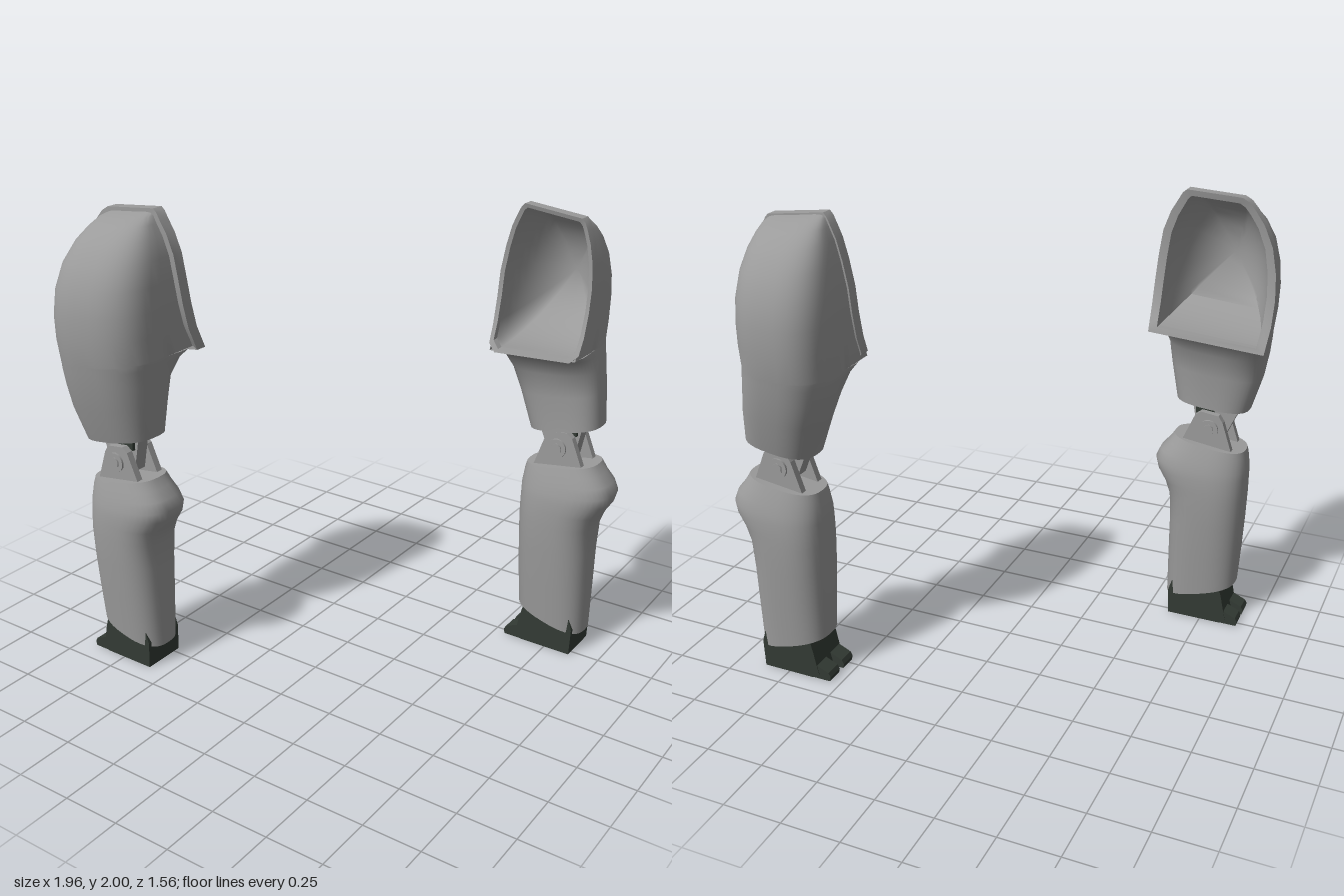
import * as THREE from 'three';
import { mergeGeometries, toCreasedNormals } from 'three/addons/utils/BufferGeometryUtils.js';

const { lerp } = THREE.MathUtils;

const armour = new THREE.MeshStandardMaterial({ color: 0x9b9b9b, side: THREE.DoubleSide });
armour.name = 'grey armour';
const dark = new THREE.MeshStandardMaterial({ color: 0x333b34, side: THREE.DoubleSide });
dark.name = 'dark green rubber';

// Depth profile of the upper arm: height, widest depth, outer depth, inner (body side) depth
const DEPTH = [
  [1.05, 0.57, 0.69, 0.455], [1.2, 0.57, 0.735, 0.455], [1.3, 0.57, 0.755, 0.44],
  [1.37, 0.57, 0.768, 0.40], [1.395, 0.57, 0.771, 0.36], [1.4, 0.57, 0.772, 0.35],
  [1.5, 0.58, 0.78, 0.40], [1.6, 0.58, 0.78, 0.425], [1.7, 0.57, 0.765, 0.437],
  [1.8, 0.55, 0.725, 0.443], [1.88, 0.53, 0.665, 0.445], [1.93, 0.51, 0.605, 0.445],
  [1.96, 0.49, 0.55, 0.443], [1.975, 0.46, 0.49, 0.44],
];
const OPEN = 5; // first level of the shoulder opening

// Left and right edges of each upper arm at those heights; side is the sign of z
const ARMS = [
  {
    name: 'rightArm', side: 1, x: 0, lift: 0, yaw: -0.08, slope: [0.12, 0.08], rim: [1.11, 1.05], corner: 0,
    xl: [-.885, -.925, -.94, -.945, -.946, -.946, -.955, -.957, -.95, -.93, -.895, -.86, -.835, -.81],
    xr: [-.57, -.54, -.525, -.515, -.51, -.51, -.507, -.508, -.514, -.525, -.55, -.575, -.59, -.605],
  },
  {
    name: 'leftArm', side: -1, x: 1.47, lift: 0.02, yaw: 0, slope: [0.16, -0.12], rim: [1.04, 1.02], corner: 0.03,
    xl: [.592, .535, .495, .478, .472, .472, .467, .467, .47, .487, .508, .53, .545, .56],
    xr: [.902, .885, .87, .86, .856, .855, .858, .86, .86, .853, .838, .823, .812, .80],
  },
];

// Surface through rows of points
function grid(rows) {
  const n = rows[0].length, pos = rows.flat().flatMap((p) => [p.x, p.y, p.z]), idx = [];
  for (let i = 0; i < rows.length - 1; i++) {
    for (let j = 0; j < n - 1; j++) {
      const a = i * n + j, b = a + n;
      idx.push(a, a + 1, b + 1, a, b + 1, b);
    }
  }
  const g = new THREE.BufferGeometry();
  g.setAttribute('position', new THREE.Float32BufferAttribute(pos, 3));
  g.setIndex(idx);
  return g;
}

function add(group, name, geometry, material, crease) {
  const mesh = new THREE.Mesh(crease ? toCreasedNormals(geometry, crease) : geometry, material);
  mesh.name = name;
  group.add(mesh);
  return mesh;
}

const shrink = (row, k) => {
  const c = new THREE.Vector3();
  row.forEach((p) => c.addScaledVector(p, 1 / row.length));
  return row.map((p) => p.clone().lerp(c, 1 - k));
};
const power = (v, p) => Math.sign(v) * Math.abs(v) ** p;

function upperArm(arm) {
  const g = new THREE.Group();
  g.name = 'upperArm';
  const place = (x, y, o, mid) => {
    const s = lerp(arm.slope[0], arm.slope[1], (y - 1.05) / 0.925);
    return new THREE.Vector3(x, y + s * (x - mid), arm.side * (o + arm.yaw * (x - mid)));
  };

  // Shell: full rings below the opening, U-shaped ones beside it
  const rows = DEPTH.map(([y, om, zo, zi], i) => {
    const mid = (arm.xl[i] + arm.xr[i]) / 2, w = (arm.xr[i] - arm.xl[i]) / 2, row = [];
    const p = i < 3 ? 0.75 : i === 3 ? 0.5 : 0.3;
    for (let k = 0; k <= 48; k++) {
      const a = -Math.PI / 2 + (k / 48) * Math.PI * 2, inner = Math.sin(a) < -1e-6;
      if (inner && i >= OPEN) {
        const t = (k < 24 ? 12 - k : k - 36) / 12;
        row.push(place(mid + (k < 24 ? w : -w), y, lerp(om, zi, t), mid));
      } else {
        const q = inner ? p : 0.75, depth = inner ? om - zi : zo - om;
        row.push(place(mid + w * power(Math.cos(a), q), y, om + depth * power(Math.sin(a), q), mid));
      }
    }
    return row;
  });
  rows.unshift(shrink(rows[0], 0), shrink(rows[0], 0.96));
  add(g, 'shoulderShell', grid(rows), armour, 0.75);

  // Loop around the opening
  const sides = [1, -1].map((s) => {
    const pts = [];
    for (const i of [OPEN, OPEN + 0.3, 6, 7, 8, 9, 10, 11, 12, 13]) {
      const a = Math.floor(i), b = Math.ceil(i), f = i - a;
      const xl = lerp(arm.xl[a], arm.xl[b], f), xr = lerp(arm.xr[a], arm.xr[b], f);
      const inset = i === OPEN ? arm.corner : 0;
      pts.push(place(s > 0 ? xr - inset : xl + inset, lerp(DEPTH[a][0], DEPTH[b][0], f),
        lerp(DEPTH[a][3], DEPTH[b][3], f), (xl + xr) / 2));
    }
    return pts;
  });
  const loop = [...sides[0], ...sides[1].reverse()];
  loop.push(loop[0].clone());
  const cx = (arm.xl[7] + arm.xr[7]) / 2, cy = 1.68;
  const offset = (kx, ky, back) => loop.map((p) => new THREE.Vector3(
    cx + (p.x - cx) * kx, cy + (p.y - cy) * ky, p.z + arm.side * back));

  // Raised rim with a rectangular section
  const [kx, ky] = arm.rim;
  const section = [offset(0.95, 0.965, 0), offset(kx, ky, -0.005), offset(kx, ky, 0.045),
    offset(0.95, 0.965, 0.045), offset(0.95, 0.965, 0)];
  add(g, 'openingRim', mergeGeometries(section.slice(1).map((r, i) => grid([section[i], r]))), armour, 0.5);

  // Hollow bowl inside the opening
  const bowl = [];
  for (let i = 0; i <= 12; i++) {
    const a = (i / 12) * Math.PI / 2, t = Math.sin(a), s = Math.cos(a);
    bowl.push(offset(0.955 * s, 0.97 * s, 0).map((p) => p.setZ(lerp(p.z, arm.side * 0.73, t))));
  }
  add(g, 'shoulderHollow', grid(bowl), armour, 1);
  return g;
}

// Forearm rings: left x, right x, left y, right y, half depth
const FOREARM = [
  [-.885, -.57, .18, .09, .115], [-.893, -.568, .35, .3, .13], [-.898, -.567, .5, .48, .142],
  [-.9, -.56, .62, .6, .148], [-.9, -.535, .68, .665, .148], [-.9, -.5, .72, .72, .147],
  [-.9, -.487, .755, .765, .142], [-.896, -.505, .785, .81, .132],
  [-.892, -.54, .815, .85, .122], [-.885, -.565, .845, .89, .11],
];

function plate(points, depth, z) {
  const shape = new THREE.Shape(points.map(([x, y]) => new THREE.Vector2(x, y)));
  return new THREE.ExtrudeGeometry(shape, { depth, bevelEnabled: false }).translate(0, 0, z - depth / 2);
}

// Forearm, elbow joint and hand, built around z = 0
function lowerArm() {
  const g = new THREE.Group();
  g.name = 'lowerArm';
  const rows = FOREARM.map(([xl, xr, yl, yr, d], i) => {
    const row = [];
    for (let k = 0; k <= 40; k++) {
      const a = (k / 40) * Math.PI * 2, u = power(Math.cos(a), 0.8);
      row.push(new THREE.Vector3(lerp(xl, xr, (u + 1) / 2), lerp(yl, yr, (u + 1) / 2), d * power(Math.sin(a), 0.75)));
    }
    return row;
  });
  rows.unshift(shrink(rows[0], 0), shrink(rows[0], 0.96));
  rows.push(shrink(rows[rows.length - 1], 0.95), shrink(rows[rows.length - 1], 0));
  add(g, 'forearm', grid(rows), armour, 0.75);

  // Elbow: two side plates with bolts around a central tongue
  for (const s of [-1, 1]) {
    add(g, 'elbowPlate', plate([[-.835, .85], [-.615, .88], [-.665, 1.0], [-.69, 1.02], [-.77, 1.01], [-.79, .98]], 0.03, s * 0.06), armour);
    add(g, 'elbowBolt', new THREE.CylinderGeometry(0.042, 0.042, 0.012, 16).rotateX(Math.PI / 2).translate(-.73, .945, s * 0.078), armour);
    add(g, 'elbowBoltHead', new THREE.CylinderGeometry(0.024, 0.024, 0.01, 6).rotateX(Math.PI / 2).translate(-.73, .945, s * 0.085), armour);
  }
  add(g, 'elbowTongue', plate([[-.79, .9], [-.67, .9], [-.635, 1.07], [-.85, 1.04]], 0.06, 0), armour);
  add(g, 'elbowPin', new THREE.BoxGeometry(0.08, 0.06, 0.09).translate(-.7, 1.03, 0), dark);
  add(g, 'elbowAxle', new THREE.CylinderGeometry(0.025, 0.025, 0.12, 12).rotateX(Math.PI / 2).translate(-.73, .945, 0), dark);

  // Fist with two parted tips
  add(g, 'hand', plate([[-.6, 0], [-.595, .12], [-.61, .17], [-.82, .22], [-.845, .13], [-.86, .06], [-.87, .02], [-.84, 0]], 0.19, 0), dark);
  for (const s of [-1, 1]) {
    add(g, 'fingers', plate([[-.83, 0], [-.83, .08], [-.86, .062], [-.915, .038], [-.925, .02], [-.92, 0]], 0.075, s * 0.055), dark);
  }
  return g;
}

export function createModel() {
  const model = new THREE.Group();
  model.name = 'armourArms';
  for (const arm of ARMS) {
    const g = new THREE.Group();
    g.name = arm.name;
    const lower = lowerArm();
    lower.position.set(arm.x, 0, arm.side * 0.565);
    // Raise the elbow slightly while the hand stays on the ground
    lower.scale.y = 1 + arm.lift;
    g.add(upperArm(arm), lower);
    model.add(g);
  }
  return model;
}
